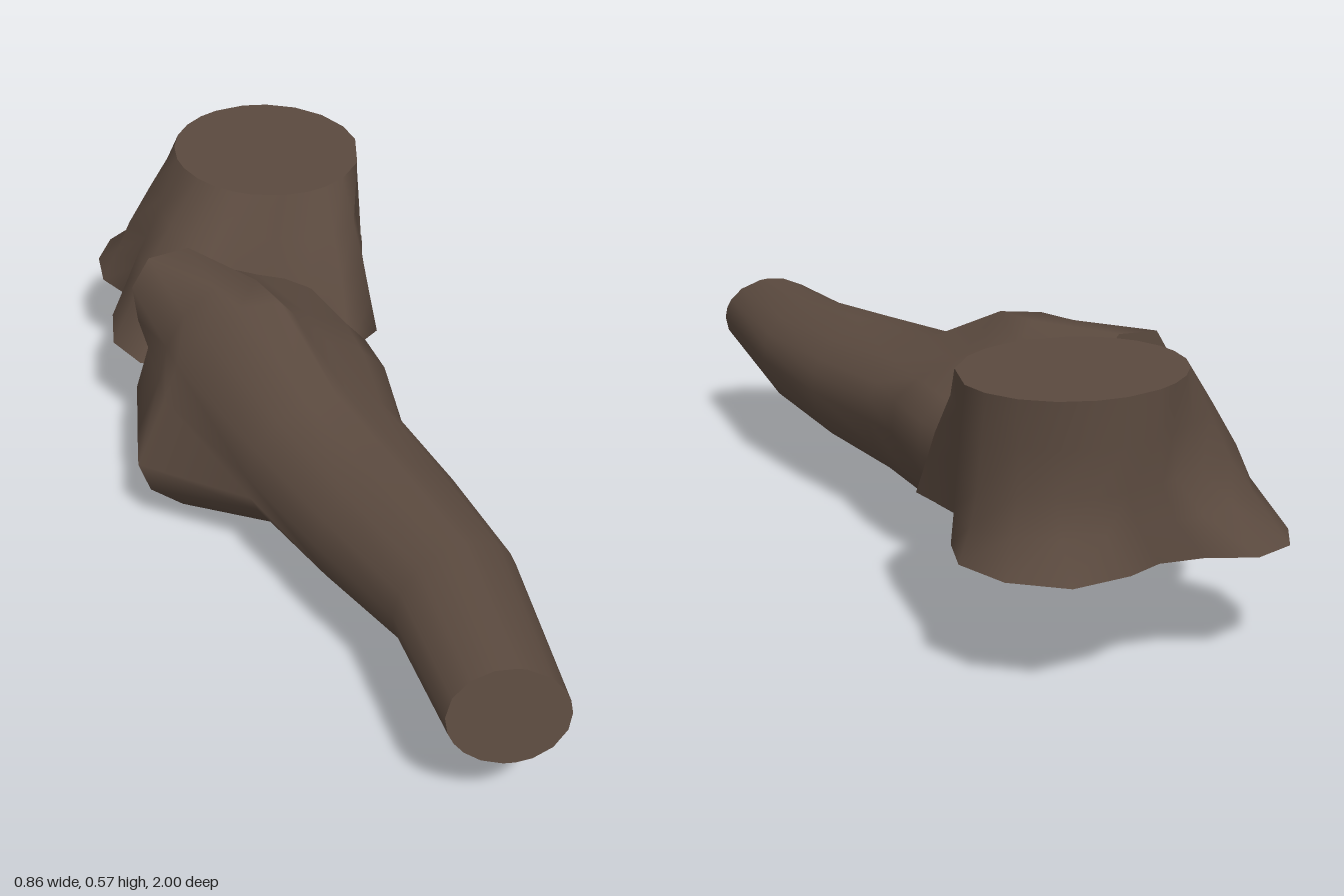
import * as THREE from 'three';

const { lerp, clamp } = THREE.MathUtils;

// Skin through matching loops (counter-clockwise, first to last), smooth normals
function skin(loops) {
  const n = loops[0].length, index = [];
  for (let r = 0; r + 1 < loops.length; r++) {
    for (let i = 0; i < n; i++) {
      const j = (i + 1) % n, a = r * n + i, b = r * n + j;
      index.push(a, b, b + n, a, b + n, a + n);
    }
  }
  return surface(loops.flat(), index);
}

// Cut face filling a loop; flat() projects each corner to 2D
function cut(loop, flat, reverse) {
  const pts = loop.map((p) => new THREE.Vector2(...flat(p)));
  const index = [];
  for (const [a, b, c] of THREE.ShapeUtils.triangulateShape(pts, [])) {
    const ccw = THREE.ShapeUtils.area([pts[a], pts[b], pts[c]]) > 0;
    index.push(...(ccw !== reverse ? [a, b, c] : [a, c, b]));
  }
  return surface(loop, index);
}

function surface(points, index) {
  const geo = new THREE.BufferGeometry();
  geo.setAttribute('position', new THREE.Float32BufferAttribute(points.flat(), 3));
  geo.setIndex(index);
  geo.computeVertexNormals();
  return geo;
}

export function createModel() {
  const model = new THREE.Group();
  model.name = 'felledTree';
  const bark = new THREE.MeshStandardMaterial({ color: 0x5b4a3f, side: THREE.DoubleSide });
  bark.name = 'bark brown';
  const add = (name, geo) => {
    const mesh = new THREE.Mesh(geo, bark);
    mesh.name = name;
    model.add(mesh);
  };

  // Stump: lobed root outline (x, z) drawn in to a round cut top, open below
  const roots = [
    [0.23, -0.83], [0.17, -0.94], [0.06, -1.0], [-0.06, -0.96], [-0.13, -0.91], [-0.22, -0.9],
    [-0.32, -0.92], [-0.4, -0.87], [-0.43, -0.78], [-0.42, -0.68], [-0.36, -0.6], [-0.4, -0.52],
    [-0.4, -0.4], [-0.34, -0.31], [-0.25, -0.3], [-0.16, -0.33], [-0.05, -0.36], [0.06, -0.31],
    [0.15, -0.32], [0.22, -0.4], [0.16, -0.58], [0.22, -0.72],
  ];
  // y, then how far the front and back roots have drawn in
  const stumpLoops = [
    [0.235, 0, 0], [0.31, 0.2, 0.7], [0.38, 0.38, 1.05], [0.47, 0.68, 1.05], [0.562, 1, 1],
  ].map(([y, front, back]) => roots.map(([x, z]) => {
    const a = Math.atan2(-(z + 0.66), x + 0.08);
    const t = lerp(front, back, clamp((-0.7 - z) / 0.25, 0, 1));
    const px = lerp(x, -0.015 + 0.22 * Math.cos(a), t);
    const pz = lerp(z, -0.71 - 0.225 * Math.sin(a), t);
    return [px, y - 0.035 * px * t, pz];
  }));
  add('stumpBark', skin(stumpLoops));
  add('stumpTop', cut(stumpLoops[4], ([x, , z]) => [x, -z], false));

  // Trunk: lobed butt outlines (x, y); the lobes drift sideways along the trunk
  const buttBack = [
    [0.08, 0.24], [0.09, 0.31], [0.05, 0.37], [-0.06, 0.41], [-0.16, 0.46], [-0.22, 0.522],
    [-0.31, 0.517], [-0.35, 0.45], [-0.34, 0.36], [-0.32, 0.28], [-0.35, 0.18], [-0.31, 0.095],
    [-0.26, 0.062], [-0.19, 0.068], [-0.11, 0.002], [-0.06, 0.02], [-0.025, 0.08], [0.01, 0.14],
    [0.06, 0.185],
  ];
  const buttFront = [
    [0.21, 0.27], [0.2, 0.34], [0.15, 0.385], [0.07, 0.42], [0.0, 0.49], [-0.03, 0.522],
    [-0.12, 0.515], [-0.2, 0.45], [-0.26, 0.37], [-0.29, 0.28], [-0.355, 0.18], [-0.33, 0.11],
    [-0.26, 0.065], [-0.16, 0.06], [-0.08, 0.01], [-0.03, 0.015], [0.03, 0.055], [0.11, 0.1],
    [0.18, 0.18],
  ];
  // Slanted cut at the back
  const backLoop = buttBack.map(([x, y]) => [x, y, Math.max(-0.415, -0.41 - 0.33 * x)]);
  // The low side root reaches further along the trunk
  const frontLoop = buttFront.map(([x, y]) => [x, y, x < -0.25 && y < 0.2 ? 0.01 : -0.09]);
  const middleLoop = backLoop.map(([x, y, z], i) => {
    const [fx, fy, fz] = frontLoop[i];
    return [lerp(x, fx, 0.75), lerp(y, fy, 0.6), lerp(z, fz, 0.6)];
  });
  // Oval sections: z, centre x, centre y, half width, half height, lean back at top and at +x
  const ovals = [
    [0.13, 0.052, 0.25, 0.178, 0.17, 0, 0.05],
    [0.37, 0.157, 0.256, 0.158, 0.153, 0, 0.06],
    [0.62, 0.26, 0.27, 0.132, 0.128, 0, 0.055],
    [0.98, 0.31, 0.277, 0.12, 0.1, 0.02, 0],
  ].map(([z, cx, cy, rx, ry, leanTop, leanSide]) => buttFront.map(([x, y]) => {
    const a = Math.atan2(y - 0.27, x + 0.06), c = Math.cos(a), s = Math.sin(a);
    return [cx + rx * c, cy + ry * s, z - leanTop * s - leanSide * c];
  }));
  const facing = ([x, y]) => [x, y];
  add('trunkBark', skin([backLoop, middleLoop, frontLoop, ...ovals]));
  add('trunkButt', cut(backLoop, facing, true));
  add('trunkTip', cut(ovals[3], facing, false));

  return model;
}
